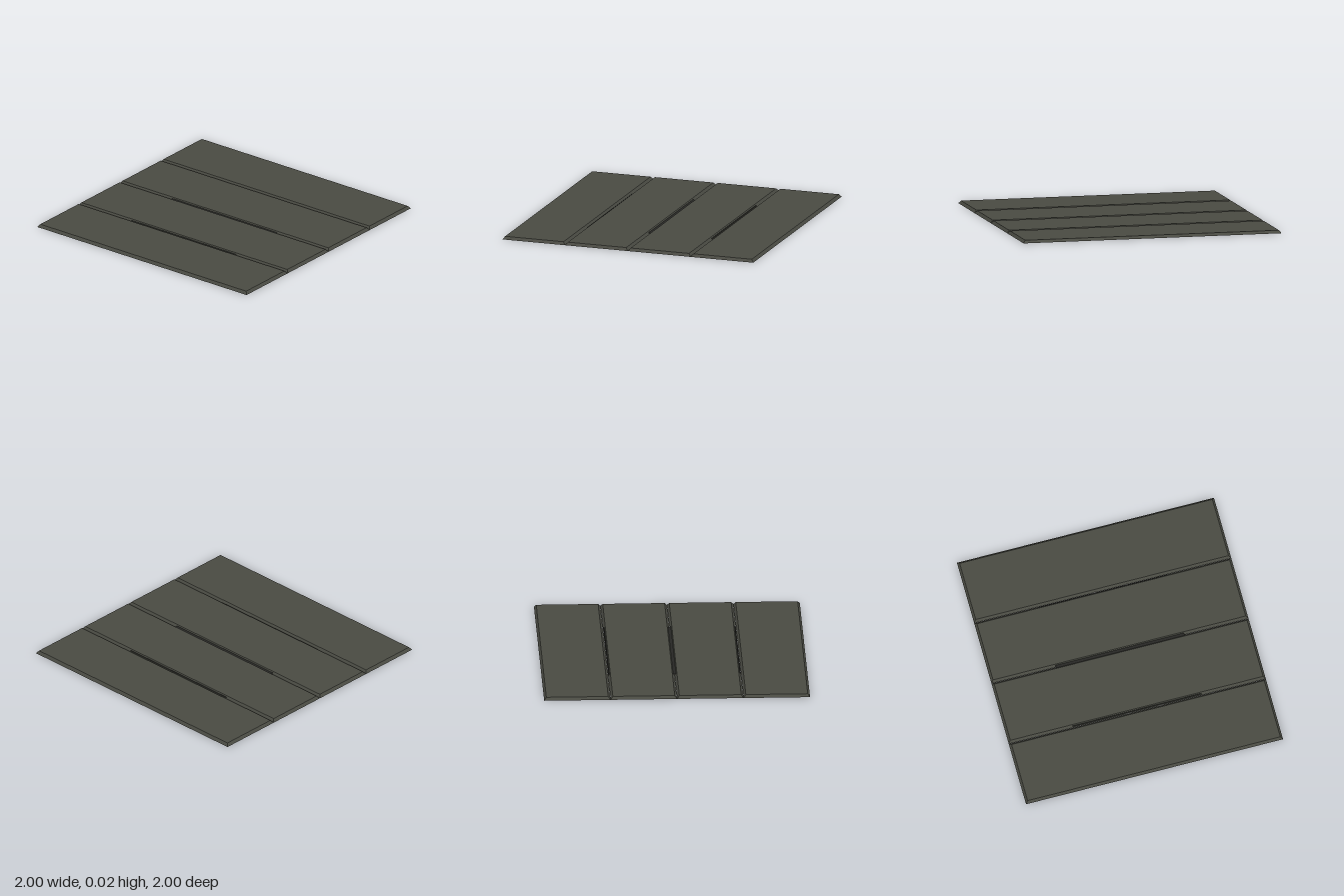
import * as THREE from 'three';

const HEIGHT = 0.021;
const BEVEL = 0.017;

// Open-bottomed tray: a flat top with four sloping sides
function plankGeometry(width, depth) {
  const corners = [[-1, 1], [1, 1], [1, -1], [-1, -1]];
  const positions = [];
  for (const [inset, y] of [[0, 0], [BEVEL, HEIGHT]]) {
    for (const [sx, sz] of corners) {
      positions.push(sx * (width / 2 - inset), y, sz * (depth / 2 - inset));
    }
  }
  const index = [4, 5, 6, 4, 6, 7];
  for (let i = 0; i < 4; i++) {
    const j = (i + 1) % 4;
    index.push(i, j, j + 4, i, j + 4, i + 4);
  }
  const indexed = new THREE.BufferGeometry();
  indexed.setAttribute('position', new THREE.Float32BufferAttribute(positions, 3));
  indexed.setIndex(index);
  const geometry = indexed.toNonIndexed();
  geometry.computeVertexNormals();
  return geometry;
}

export function createModel() {
  const model = new THREE.Group();
  model.name = 'plankPanel';

  const plankMaterial = new THREE.MeshStandardMaterial({ color: 0x494a42, side: THREE.DoubleSide });
  plankMaterial.name = 'dark olive grey';
  const shadowMaterial = new THREE.MeshStandardMaterial({ color: 0x262624 });
  shadowMaterial.name = 'near black';
  const gripMaterial = new THREE.MeshStandardMaterial({ color: 0x868686 });
  gripMaterial.name = 'mid grey';

  function add(name, geometry, material, x, y, z) {
    const mesh = new THREE.Mesh(geometry, material);
    mesh.name = name;
    mesh.position.set(x, y, z);
    model.add(mesh);
    return mesh;
  }

  // Four bevelled planks side by side
  const plank = plankGeometry(0.499, 2);
  for (let i = 0; i < 4; i++) {
    add('plank', plank, plankMaterial, -0.75 + i * 0.5, 0, 0);
  }

  // Square backing plate joining the planks, with a dark upper face
  const backing = new THREE.BoxGeometry(0.99, 0.01, 1);
  add('backingPlate', backing, [
    plankMaterial, plankMaterial, shadowMaterial,
    plankMaterial, plankMaterial, plankMaterial,
  ], 0, 0.008, 0);

  // Two scalloped grip strips under the plate, made of overlapping discs
  const disc = new THREE.CylinderGeometry(0.055, 0.055, 0.003, 12);
  const count = 13;
  for (const z of [-0.07, 0.18]) {
    for (let i = 0; i < count; i++) {
      add('gripStrip', disc, gripMaterial, -0.45 + (0.9 * i) / (count - 1), 0.0015, z);
    }
  }

  return model;
}
